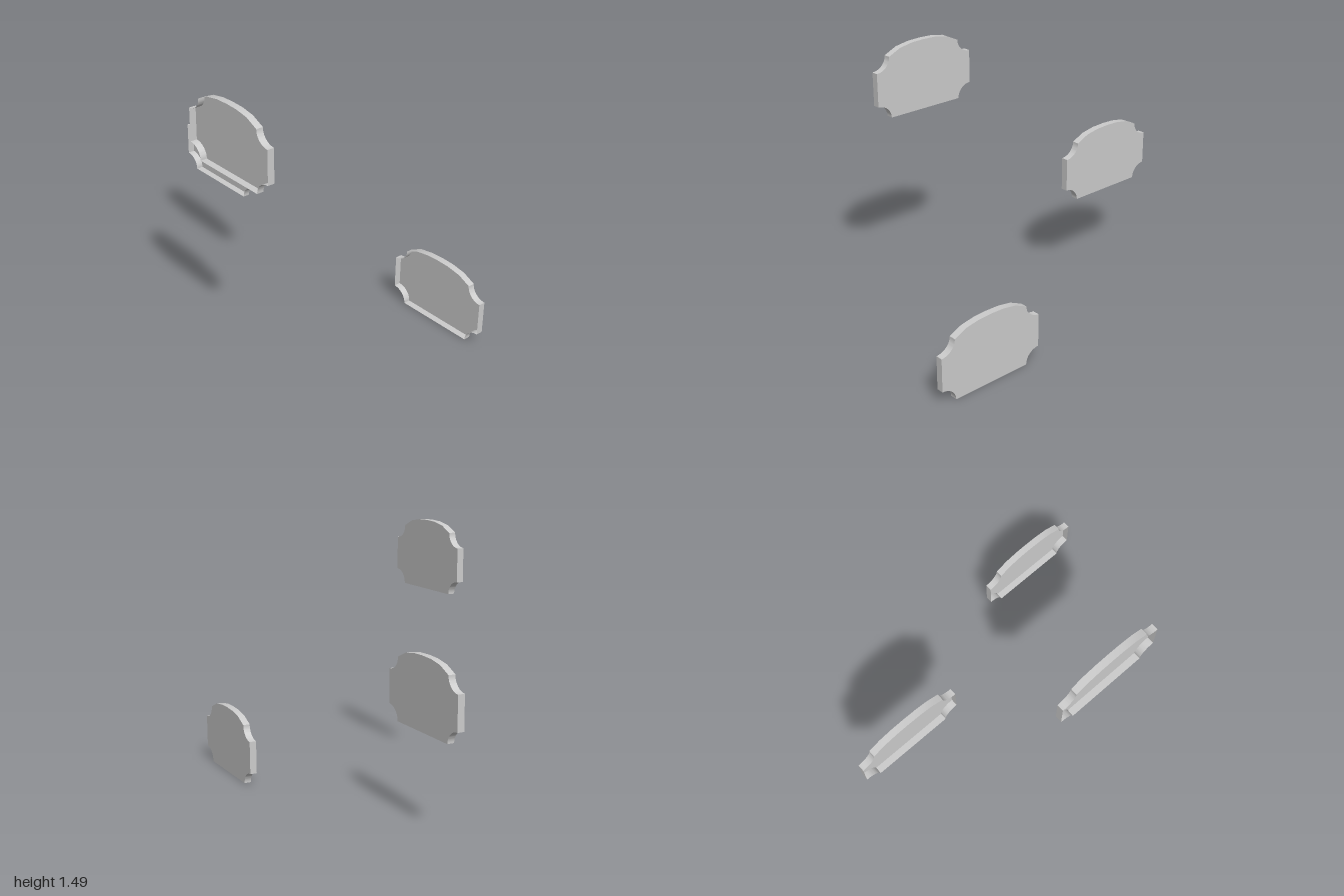
import * as THREE from 'three';
import { toCreasedNormals } from 'three/addons/utils/BufferGeometryUtils.js';

const THICKNESS = 0.04;
const HALF = 0.325;     // half the panel width
const SCOOP_X = 0.086;  // half-axes of the corner scoops
const SCOOP_Y = 0.079;
const SHOULDER = 0.35;  // height where the crown begins

// Plaque outline: flat base, four scooped corners, faceted arched crown
function plaqueShape() {
  const neck = HALF - SCOOP_X;
  const shape = new THREE.Shape();
  shape.moveTo(-neck, 0);
  shape.lineTo(neck, 0);
  shape.absellipse(HALF, 0, SCOOP_X, SCOOP_Y, Math.PI, Math.PI / 2, true);
  shape.lineTo(HALF, SHOULDER - SCOOP_Y);
  shape.absellipse(HALF, SHOULDER, SCOOP_X, SCOOP_Y, -Math.PI / 2, -Math.PI, true);
  const crown = [[0.163, 0.385], [0.08, 0.399], [0, 0.402], [-0.08, 0.399], [-0.163, 0.385]];
  for (const [x, y] of crown) shape.lineTo(x, y);
  shape.lineTo(-neck, SHOULDER);
  shape.absellipse(-HALF, SHOULDER, SCOOP_X, SCOOP_Y, 0, -Math.PI / 2, true);
  shape.lineTo(-HALF, SCOOP_Y);
  shape.absellipse(-HALF, 0, SCOOP_X, SCOOP_Y, Math.PI / 2, 0, true);
  return shape;
}

// Rim: a strip of quads along the closed outline
function rimGeometry(shape) {
  const points = shape.getPoints(8);
  const d = THICKNESS / 2;
  const positions = [];
  for (let i = 0; i < points.length - 1; i++) {
    const p = points[i], q = points[i + 1];
    positions.push(p.x, p.y, -d, q.x, q.y, -d, q.x, q.y, d);
    positions.push(p.x, p.y, -d, q.x, q.y, d, p.x, p.y, d);
  }
  const geometry = new THREE.BufferGeometry();
  geometry.setAttribute('position', new THREE.Float32BufferAttribute(positions, 3));
  return toCreasedNormals(geometry, Math.PI / 6);
}

export function createModel() {
  const group = new THREE.Group();
  const shape = plaqueShape();
  const rim = rimGeometry(shape);
  const face = new THREE.ShapeGeometry(shape, 8).translate(0, 0, THICKNESS / 2);
  const material = new THREE.MeshStandardMaterial({ color: 0xcccccc, side: THREE.DoubleSide });

  // Three identical hollow plaques, stepped in height, closed on +x and open on -x
  const plaques = [
    ['lowerPlaque', 0.543, 0, 0.675],
    ['middlePlaque', 0.033, 0.518, -0.675],
    ['upperPlaque', -0.543, 1.09, 0.21],
  ];
  for (const [name, x, y, z] of plaques) {
    const plaque = new THREE.Group();
    plaque.name = name;
    for (const [part, geometry] of [['rim', rim], ['face', face]]) {
      const mesh = new THREE.Mesh(geometry, material);
      mesh.name = part;
      plaque.add(mesh);
    }
    plaque.position.set(x, y, z);
    plaque.rotation.y = Math.PI / 2;
    group.add(plaque);
  }
  return group;
}
